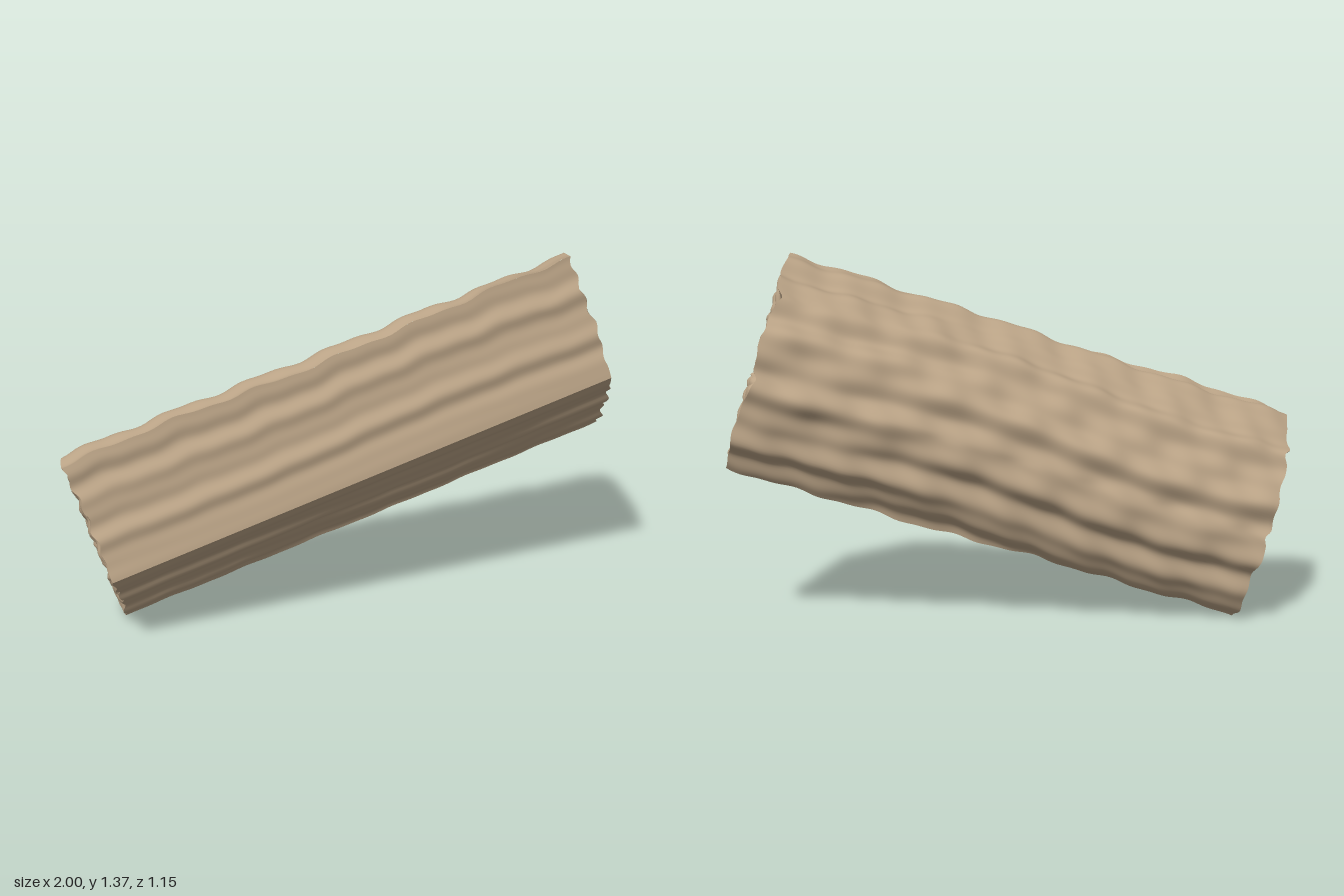
import * as THREE from 'three';

const HALF = 1.065;    // half of the wedge angle
const RADIUS = 0.482;
const LENGTH = 1.99;
const { sin, cos, exp, abs, PI } = Math;

// Radius of the bark: lengthwise ridges that meander along the log
function barkRadius(a, t) {
  const x = t * LENGTH;
  return RADIUS
    + 0.011 * sin(15 * a + 1.1 * sin(2.6 * x + 0.5) + 0.8)
    + 0.006 * sin(27 * a + 1.4 * sin(4.1 * x) + 2.0)
    + 0.006 * sin(20 * x + 5 * a + 2 * sin(3 * a))
    + 0.003 * sin(41 * x - 9 * a);
}

// Shallow grain waves on the two split faces
function grain(rho, t, side) {
  const x = t * LENGTH;
  const wave = 0.006 * sin(19 * rho + 0.7 * sin(2.4 * x + side) + side)
    + 0.003 * sin(34 * rho + 0.8 * sin(3.5 * x) + 2 * side);
  return wave * Math.min(1, rho * 4);
}

// Growth rings and radial cracks on the sawn ends
function endRelief(rho, a, end) {
  const fade = Math.min(1, rho * 3);
  const rings = 0.007 * sin(rho * 2 * PI * 5.2 + 0.5 * sin(3 * a + end));
  const rough = 0.006 * sin(9 * a + 2 * end + 4 * rho) + 0.003 * sin(26 * a + 13 * rho);
  const wander = 0.025 * sin(11 * rho + end);
  let cracks = 0;
  for (const c of [0.45, -0.23]) cracks += exp(-(((a - c - wander) / 0.045) ** 2));
  return (rings + rough - 0.018 * cracks) * fade;
}

// Point in the log: t along it, a around the heart edge, rho outward
function logPoint(t, a, rho) {
  const r = rho * barkRadius(a, t);
  const bend = (a / HALF) ** 3 * grain(rho, t, Math.sign(a));
  const x0 = -endRelief(rho, a, 0);
  const x1 = LENGTH + endRelief(rho, a, 1.7);
  return [
    x0 + (x1 - x0) * t,
    r * cos(a) - bend * sin(a),
    r * sin(a) + bend * cos(a),
  ];
}

// Smooth surface over a grid of p, q from 0 to 1
function surface(np, nq, point) {
  const pos = [], index = [];
  for (let i = 0; i <= np; i++) {
    for (let j = 0; j <= nq; j++) pos.push(...point(i / np, j / nq));
  }
  for (let i = 0; i < np; i++) {
    for (let j = 0; j < nq; j++) {
      const k = i * (nq + 1) + j, n = k + nq + 1;
      index.push(k, n, n + 1, k, n + 1, k + 1);
    }
  }
  const g = new THREE.BufferGeometry();
  g.setAttribute('position', new THREE.Float32BufferAttribute(pos, 3));
  g.setIndex(index);
  g.computeVertexNormals();
  return g;
}

export function createModel() {
  const wood = new THREE.MeshStandardMaterial({ color: 0xbaa386 });
  wood.name = 'wood';
  const log = new THREE.Group();
  log.name = 'splitLog';
  const add = (name, np, nq, point) => {
    const mesh = new THREE.Mesh(surface(np, nq, point), wood);
    mesh.name = name;
    log.add(mesh);
  };
  const angle = (p) => (2 * p - 1) * HALF;

  // Rounded bark side
  add('bark', 110, 110, (p, q) => logPoint(q, angle(p), 1));
  // Flat split faces
  add('upperSplitFace', 80, 50, (p, q) => logPoint(p, HALF, q));
  add('lowerSplitFace', 50, 80, (p, q) => logPoint(q, -HALF, p));
  // Sawn ends
  add('leftEnd', 60, 110, (p, q) => logPoint(1, angle(q), p));
  add('rightEnd', 110, 60, (p, q) => logPoint(0, angle(p), q));

  // Tilt the log: its heart edge runs along d, the middle of the bark faces m
  const start = new THREE.Vector3(-0.77, 0.33, 0.58);
  const d = new THREE.Vector3(0.995, 0.945, -0.11).sub(start).normalize();
  const m = new THREE.Vector3(-0.417, 0.3, -0.857);
  m.addScaledVector(d, -m.dot(d)).normalize();
  const w = new THREE.Vector3().crossVectors(d, m);
  log.quaternion.setFromRotationMatrix(new THREE.Matrix4().makeBasis(d, m, w));
  log.position.copy(start);

  const model = new THREE.Group();
  model.name = 'firewood';
  model.add(log);
  return model;
}
